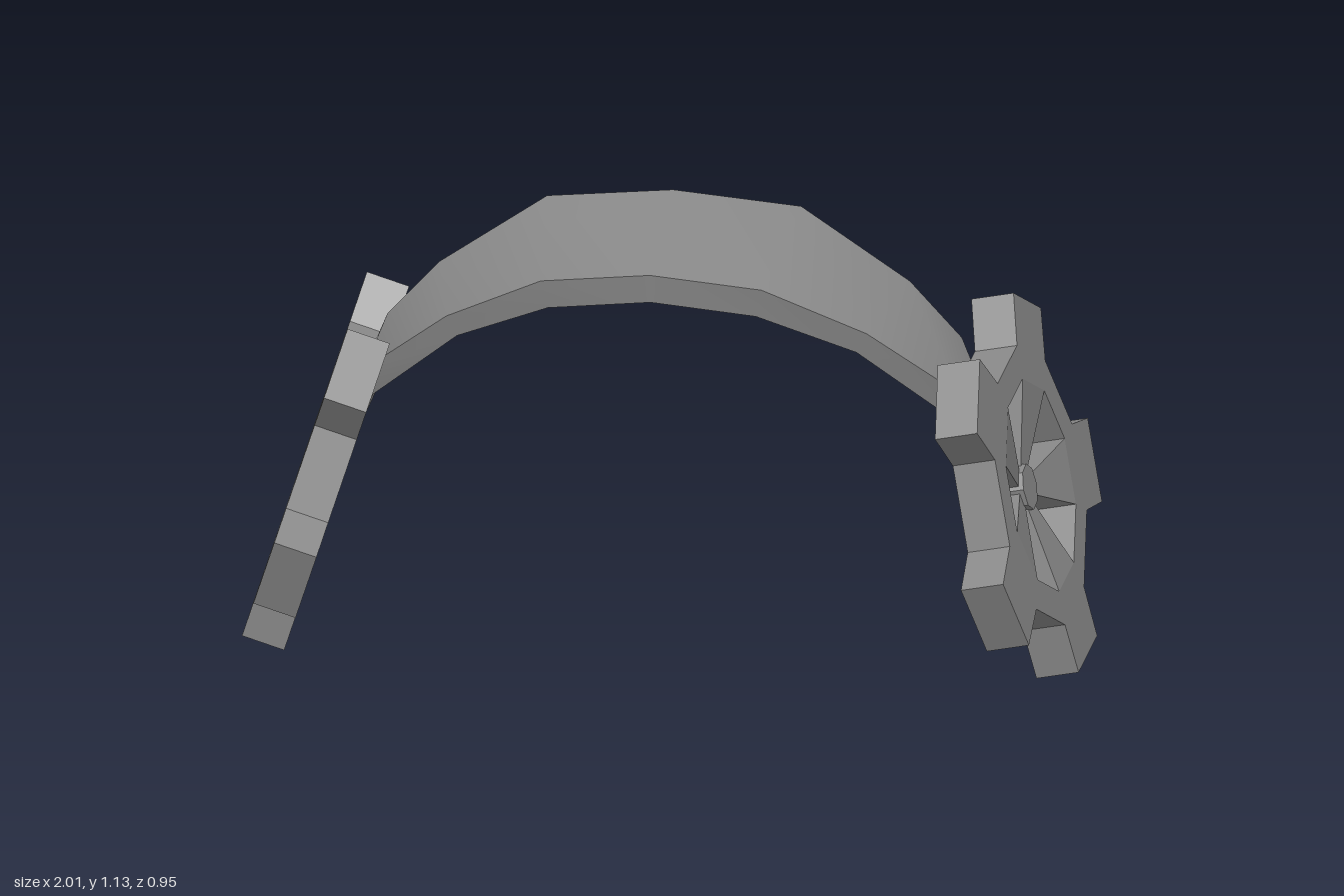
import * as THREE from 'three';
import { toCreasedNormals } from 'three/addons/utils/BufferGeometryUtils.js';

const grey = new THREE.MeshStandardMaterial({ color: 0x888888 });
const THICK = 0.105;
const OPENING = 0.242; // distance from the hub axis to the flats of the rim opening
const OPENING_HALF = OPENING * Math.tan(Math.PI / 10);

function addMesh(parent, geometry, name) {
  const mesh = new THREE.Mesh(geometry, grey);
  mesh.name = name;
  parent.add(mesh);
  return mesh;
}

// Decagonal rim with a square tooth on every second side, open in the middle
function rimGeometry() {
  const outline = [];
  const opening = [];
  for (let k = 0; k < 5; k++) {
    const a = (k * 2 * Math.PI) / 5;
    const put = (r, t) =>
      new THREE.Vector2(r * Math.cos(a) - t * Math.sin(a), r * Math.sin(a) + t * Math.cos(a));
    outline.push(put(0.318, -0.103), put(0.445, -0.1), put(0.445, 0.1), put(0.318, 0.103));
    opening.push(put(OPENING, -OPENING_HALF), put(OPENING, OPENING_HALF));
  }
  const shape = new THREE.Shape(outline);
  shape.holes.push(new THREE.Path(opening));
  const g = new THREE.ExtrudeGeometry(shape, { depth: THICK, bevelEnabled: false });
  return g.translate(0, 0, -THICK / 2);
}

// Fan-shaped spoke, narrow, thin and slightly sunken at the hub
function spokeGeometry() {
  const g = new THREE.BoxGeometry(1, 1, 1).toNonIndexed();
  const p = g.attributes.position;
  for (let i = 0; i < p.count; i++) {
    const outer = p.getX(i) > 0;
    p.setXYZ(i,
      outer ? OPENING : 0.03,
      p.getY(i) * 2 * (outer ? OPENING_HALF : 0.018),
      outer ? p.getZ(i) * THICK : p.getZ(i) * 0.045 - 0.012);
  }
  g.computeVertexNormals();
  return g;
}

// Gear whose outer face looks along the given normal
function makeGear(name, center, normal, turn) {
  const gear = new THREE.Group();
  gear.name = name;
  const z = normal.clone().normalize();
  const x = new THREE.Vector3(0, 1, 0).cross(z).normalize();
  const y = z.clone().cross(x);
  gear.quaternion.setFromRotationMatrix(new THREE.Matrix4().makeBasis(x, y, z));
  gear.position.copy(center);

  const wheel = new THREE.Group();
  wheel.name = 'wheel';
  wheel.rotation.z = THREE.MathUtils.degToRad(turn);
  gear.add(wheel);
  addMesh(wheel, rimGeometry(), 'toothedRim');
  const spoke = spokeGeometry();
  for (let k = 0; k < 5; k++) {
    addMesh(wheel, spoke, 'spoke').rotation.z = (k * 2 * Math.PI) / 5;
  }
  const hub = new THREE.CylinderGeometry(0.055, 0.055, 0.075, 8).rotateX(Math.PI / 2);
  addMesh(wheel, toCreasedNormals(hub, 0.5), 'hub').position.z = -0.012;
  return gear;
}

// Half of the band from the crown to the hub; each section lists
// back outer, front outer, front inner and back inner corners
const SECTIONS = [
  [[0, 1.135, -0.088], [0, 1.055, 0.318], [0, 0.985, 0.308], [0, 1.065, -0.078]],
  [[0.305, 1.11, -0.08], [0.265, 1.03, 0.318], [0.25, 0.96, 0.305], [0.28, 1.04, -0.075]],
  [[0.565, 0.94, -0.068], [0.505, 0.91, 0.248], [0.48, 0.86, 0.24], [0.52, 0.885, -0.063]],
  [[0.69, 0.81, -0.055], [0.715, 0.745, 0.17], [0.695, 0.68, 0.16], [0.655, 0.755, -0.045]],
  [[0.84, 0.47, 0], [0.84, 0.455, 0.05], [0.8, 0.45, 0.05], [0.795, 0.465, 0]],
];

function bandGeometry() {
  const left = SECTIONS.map((s) => s.map((p) => new THREE.Vector3(...p)));
  const right = SECTIONS.slice(1).reverse().map((s) =>
    s.map(([x, y, z]) => new THREE.Vector3(-x * 0.975, y, z)));
  // the right end drops onto the slightly rearward hub
  right[0].forEach((p) => { p.z -= 0.04; p.y -= 0.015; });
  const rows = [...right, ...left];
  const pos = [];
  const quad = (a, b, c, d) => {
    for (const v of [a, b, c, a, c, d]) pos.push(v.x, v.y, v.z);
  };
  for (let i = 0; i < rows.length - 1; i++) {
    for (let j = 0; j < 4; j++) {
      const n = (j + 1) % 4;
      quad(rows[i][j], rows[i][n], rows[i + 1][n], rows[i + 1][j]);
    }
  }
  const [a, b] = [rows[0], rows[rows.length - 1]];
  quad(a[3], a[2], a[1], a[0]);
  quad(b[0], b[1], b[2], b[3]);
  const g = new THREE.BufferGeometry();
  g.setAttribute('position', new THREE.Float32BufferAttribute(pos, 3));
  return toCreasedNormals(g, 0.75);
}

export function createModel() {
  const model = new THREE.Group();
  model.name = 'gearHeadband';
  addMesh(model, bandGeometry(), 'headband');
  model.add(makeGear('leftGear',
    new THREE.Vector3(0.838, 0.47, 0.024), new THREE.Vector3(1, 0.23, 0.12), -10));
  model.add(makeGear('rightGear',
    new THREE.Vector3(-0.816, 0.446, -0.02), new THREE.Vector3(-1, 0.325, 0.03), 194));
  return model;
}
